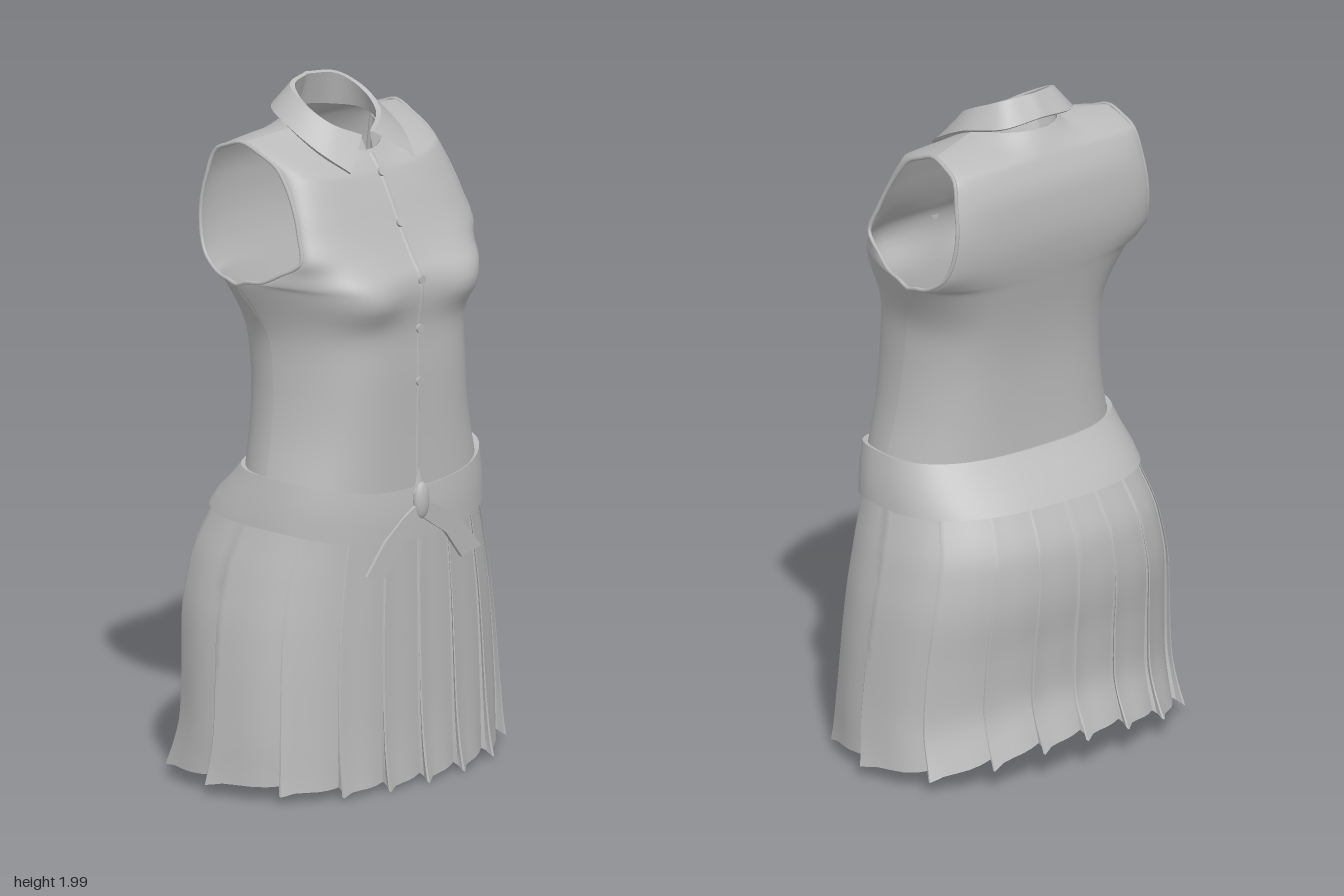
import * as THREE from 'three';
import { toCreasedNormals } from 'three/addons/utils/BufferGeometryUtils.js';

const cloth = new THREE.MeshStandardMaterial({ color: 0xbababa, side: THREE.DoubleSide });
cloth.name = 'grey cloth';

const curve = (pts) => new THREE.CatmullRomCurve3(pts.map((p) => new THREE.Vector3(...p)));
const lerp = THREE.MathUtils.lerp;

function mesh(name, geometry, parent) {
  const m = new THREE.Mesh(geometry, cloth);
  m.name = name;
  parent.add(m);
  return m;
}

// Surface of nu x nv cells, with fn(u, v, i) giving each point
function grid(nu, nv, fn) {
  const pos = [], index = [];
  for (let j = 0; j <= nv; j++) {
    for (let i = 0; i <= nu; i++) {
      pos.push(...fn(i / nu, j / nv, i));
      if (i < nu && j < nv) {
        const a = j * (nu + 1) + i, b = a + nu + 1;
        index.push(a, a + 1, b, a + 1, b + 1, b);
      }
    }
  }
  const g = new THREE.BufferGeometry();
  g.setAttribute('position', new THREE.Float32BufferAttribute(pos, 3));
  g.setIndex(index);
  g.computeVertexNormals();
  return g;
}

// Rounded-square outline; phi = 0 is the front and grows towards -x
function oval(phi, a, zf, zb) {
  const r = (v) => Math.sign(v) * Math.abs(v) ** 0.8;
  return [-a * r(Math.sin(phi)), (zf + zb) / 2 + ((zf - zb) / 2) * r(Math.cos(phi))];
}

// Bodice edges run up the side seam, round the armhole and to the shoulder
const seam = [[0.375, 0.91, 0.08], [0.342, 1.05, 0.07], [0.325, 1.2, 0.06], [0.328, 1.33, 0.04], [0.38, 1.47, -0.03]];
const shoulder = [0.315, 1.865, -0.07];
const frontEdge = curve([...seam, [0.374, 1.49, 0.06], [0.36, 1.525, 0.13], [0.345, 1.565, 0.19],
  [0.332, 1.63, 0.17], [0.32, 1.7, 0.14], [0.307, 1.81, 0.06], shoulder]);
const backEdge = curve([...seam, [0.374, 1.485, -0.1], [0.36, 1.53, -0.17], [0.348, 1.6, -0.2],
  [0.34, 1.68, -0.205], [0.332, 1.76, -0.19], [0.322, 1.83, -0.165], shoulder]);
const frontCentre = curve([[0, 0.84, 0.315], [0, 1.02, 0.315], [0, 1.2, 0.318], [0, 1.33, 0.318], [0, 1.44, 0.33],
  [0, 1.49, 0.322], [0, 1.53, 0.297], [0, 1.58, 0.267], [0, 1.64, 0.235], [0, 1.7, 0.205], [0, 1.77, 0.165], [0, 1.82, 0.125]]);
const backCentre = curve([[0, 0.86, -0.135], [0, 1.04, -0.135], [0, 1.2, -0.145], [0, 1.33, -0.168], [0, 1.45, -0.2],
  [0, 1.5, -0.214], [0, 1.55, -0.226], [0, 1.61, -0.235], [0, 1.68, -0.236], [0, 1.76, -0.226], [0, 1.84, -0.19], [0, 1.9, -0.15]]);

function bodicePoint(s, t, front) {
  const e = (front ? frontEdge : backEdge).getPoint(t);
  const c = (front ? frontCentre : backCentre).getPoint(t);
  const a = Math.min(Math.abs(s), 1), side = Math.sign(s);
  let x = a * e.x, y = lerp(c.y, e.y, a * a), z = lerp(e.z, c.z, (1 - a ** 4) ** 0.6);
  if (front) {
    const dy = (y - 1.43) / (y < 1.43 ? 0.055 : 0.1);
    z += 0.035 * Math.exp(-(((x - 0.21) / 0.12) ** 2) - dy * dy) * (1 - a ** 6);
  }
  // Blend the last row into the neckline and shoulder line
  const w = Math.max(0, t * 11 - 10);
  if (w > 0) {
    const k = 0.42, q = Math.min(a / k, 1) * Math.PI / 2, m = Math.max(0, (a - k) / (1 - k));
    const cs = Math.cos(q);
    x = lerp(x, lerp(0.13 * Math.sin(q), shoulder[0], m), w);
    y = lerp(y, lerp(1.89 + (front ? -0.07 : 0.01) * cs, shoulder[1], m), w);
    z = lerp(z, lerp(-0.02 + (front ? 0.145 : -0.13) * cs, shoulder[2], m), w);
  }
  return [side * x, y, z];
}

function buildBodice(g) {
  for (const front of [true, false]) {
    mesh(front ? 'bodiceFront' : 'bodiceBack', grid(48, 55, (u, v) =>
      bodicePoint(Math.sin((front ? 1 : -1) * (u - 0.5) * Math.PI), v, front)), g);
  }
  // Armhole bindings
  for (const side of [1, -1]) {
    const pts = [];
    for (let i = 0; i <= 14; i++) pts.push(frontEdge.getPoint((4 + i / 2) / 11));
    for (let i = 13; i > 0; i--) pts.push(backEdge.getPoint((4 + i / 2) / 11));
    pts.forEach((p) => { p.x *= side; });
    mesh('armholeBinding', new THREE.TubeGeometry(new THREE.CatmullRomCurve3(pts, true), 70, 0.006, 6, true), g);
  }
  // Button placket and buttons
  mesh('placket', grid(2, 50, (u, v) => {
    const p = bodicePoint((u - 0.5) * 0.04, v * 0.96, true);
    return [p[0], p[1], p[2] + (u === 0.5 ? 0.005 : 0)];
  }), g);
  for (const t of [0.17, 0.275, 0.43, 0.71, 0.9]) {
    const p = frontCentre.getPoint(t);
    const b = mesh('button', new THREE.CylinderGeometry(0.013, 0.013, 0.008, 12), g);
    b.position.set(0, p.y, p.z + 0.005);
    b.rotation.x = t > 0.6 ? 1.05 : Math.PI / 2;
  }
}

function buildCollar(g) {
  // Each curve runs from the centre back to the front opening
  const rows = [
    [[0, 1.9, -0.15], [0.09, 1.89, -0.11], [0.13, 1.885, -0.02], [0.1, 1.845, 0.08], [0.012, 1.815, 0.128]],
    [[0, 1.995, -0.115], [0.085, 1.985, -0.085], [0.113, 1.945, -0.01], [0.09, 1.9, 0.065], [0.02, 1.865, 0.108]],
    [[0, 2.0, -0.124], [0.095, 1.988, -0.095], [0.124, 1.95, -0.01], [0.1, 1.903, 0.075], [0.024, 1.865, 0.12]],
    [[0, 1.94, -0.165], [0.125, 1.925, -0.14], [0.18, 1.9, -0.03], [0.172, 1.84, 0.09], [0.13, 1.785, 0.18]],
    [[0, 1.932, -0.155], [0.12, 1.917, -0.13], [0.172, 1.892, -0.03], [0.165, 1.83, 0.085], [0.125, 1.78, 0.168]],
  ].map(curve);
  mesh('collar', toCreasedNormals(grid(48, 4, (u, v) => {
    const p = rows[Math.round(v * 4)].getPoint(Math.abs(u * 2 - 1));
    return [u < 0.5 ? -p.x : p.x, p.y, p.z];
  }), 0.7), g);
}

function buildSash(g) {
  // Rows: [blend from top to bottom, half width, front z, back z]
  const rows = [[0.03, 0.368, 0.313, -0.137], [0, 0.382, 0.328, -0.15], [0.35, 0.395, 0.335, -0.19],
    [0.7, 0.408, 0.337, -0.24], [1, 0.415, 0.337, -0.27], [0.98, 0.39, 0.315, -0.245]];
  mesh('waistSash', toCreasedNormals(grid(72, 5, (u, v) => {
    const phi = u * 2 * Math.PI, c = Math.cos(phi), f = Math.max(c, 0) ** 2;
    const [k, a, zf, zb] = rows[Math.round(v * 5)];
    const [x, z] = oval(phi, a, zf, zb);
    return [x, lerp(0.928 - 0.055 * f, 0.785 - 0.06 * f + 0.015 * Math.max(-c, 0), k), z];
  }), 0.7), g);

  // Tied knot and two tails
  const knot = mesh('sashKnot', new THREE.SphereGeometry(1, 16, 12), g);
  knot.scale.set(0.028, 0.055, 0.018);
  knot.position.set(-0.012, 0.835, 0.34);
  const peak = mesh('sashKnotPeak', new THREE.ConeGeometry(0.028, 0.07, 8), g);
  peak.scale.z = 0.4;
  peak.position.set(-0.014, 0.895, 0.335);
  const outline = [[0, 0.84], [0.09, 0.795], [0.17, 0.74], [0.255, 0.65], [0.17, 0.634], [0.1, 0.72], [0, 0.785]];
  for (const k of [1, -0.83]) {
    const pts = outline.map(([x, y]) => new THREE.Vector2(x * k, y));
    const tail = mesh('sashTail', new THREE.ExtrudeGeometry(new THREE.Shape(pts), { depth: 0.01, bevelEnabled: false }), g);
    tail.position.set(-0.01, 0, 0.336);
    tail.rotation.y = Math.sign(k) * 0.07;
  }
}

function buildSkirt(g) {
  // Length table round the hem; pleats are narrower at front and back than at the sides
  const N = 720, len = [0];
  for (let i = 1; i <= N; i++) {
    const phi = i / N * 2 * Math.PI;
    const p = oval((i - 1) / N * 2 * Math.PI, 0.495, 0.32, -0.32), q = oval(phi, 0.495, 0.32, -0.32);
    len.push(len[i - 1] + Math.hypot(q[0] - p[0], q[1] - p[1]) * (1.2 - 0.4 * Math.sin(phi) ** 2));
  }
  const phiAt = (f) => {
    const d = (f - Math.floor(f)) * len[N];
    let i = 1;
    while (i < N && len[i] < d) i++;
    return (i - 1 + (d - len[i - 1]) / (len[i] - len[i - 1])) / N * 2 * Math.PI;
  };
  // One knife pleat: [fraction along, outward push]
  const pleat = [[0, 0], [0.2, 0.22], [0.4, 0.36], [0.6, 0.43], [0.8, 0.56], [0.93, 0.85], [1.0, 1], [1.02, 0.85], [0.98, 0.35]];
  const count = 16, n = pleat.length;
  // Half width, front z and back z from waist to hem
  const body = curve([[0.39, 0.312, -0.24], [0.438, 0.312, -0.31], [0.47, 0.313, -0.32],
    [0.485, 0.314, -0.303], [0.492, 0.316, -0.295], [0.492, 0.322, -0.333]]);
  const phis = [];
  for (let i = 0; i <= count * n; i++) phis.push(phiAt((Math.floor(i / n) + pleat[i % n][0]) / count));
  mesh('pleatedSkirt', toCreasedNormals(grid(count * n, 24, (u, v, i) => {
    const phi = phis[i], push = pleat[i % n][1], c = Math.cos(phi);
    const s = body.getPoint(v), [x, z] = oval(phi, s.x, s.y, s.z);
    const half = (s.y - s.z) / 2, mid = (s.y + s.z) / 2;
    const nx = x / s.x ** 2, nz = (z - mid) / half ** 2, l = Math.hypot(nx, nz) || 1;
    const out = push * (0.008 + 0.012 * v + 0.02 * v ** 8);
    const hem = 0.06 - 0.03 * Math.max(c, 0) ** 2 + 0.06 * Math.max(-c, 0) ** 4 - 0.022 * push;
    return [x + nx / l * out, lerp(0.82, hem, v), z + nz / l * out];
  }), 0.6), g);
}

export function createModel() {
  const g = new THREE.Group();
  g.name = 'sleevelessDress';
  buildBodice(g);
  buildCollar(g);
  buildSash(g);
  buildSkirt(g);
  return g;
}
